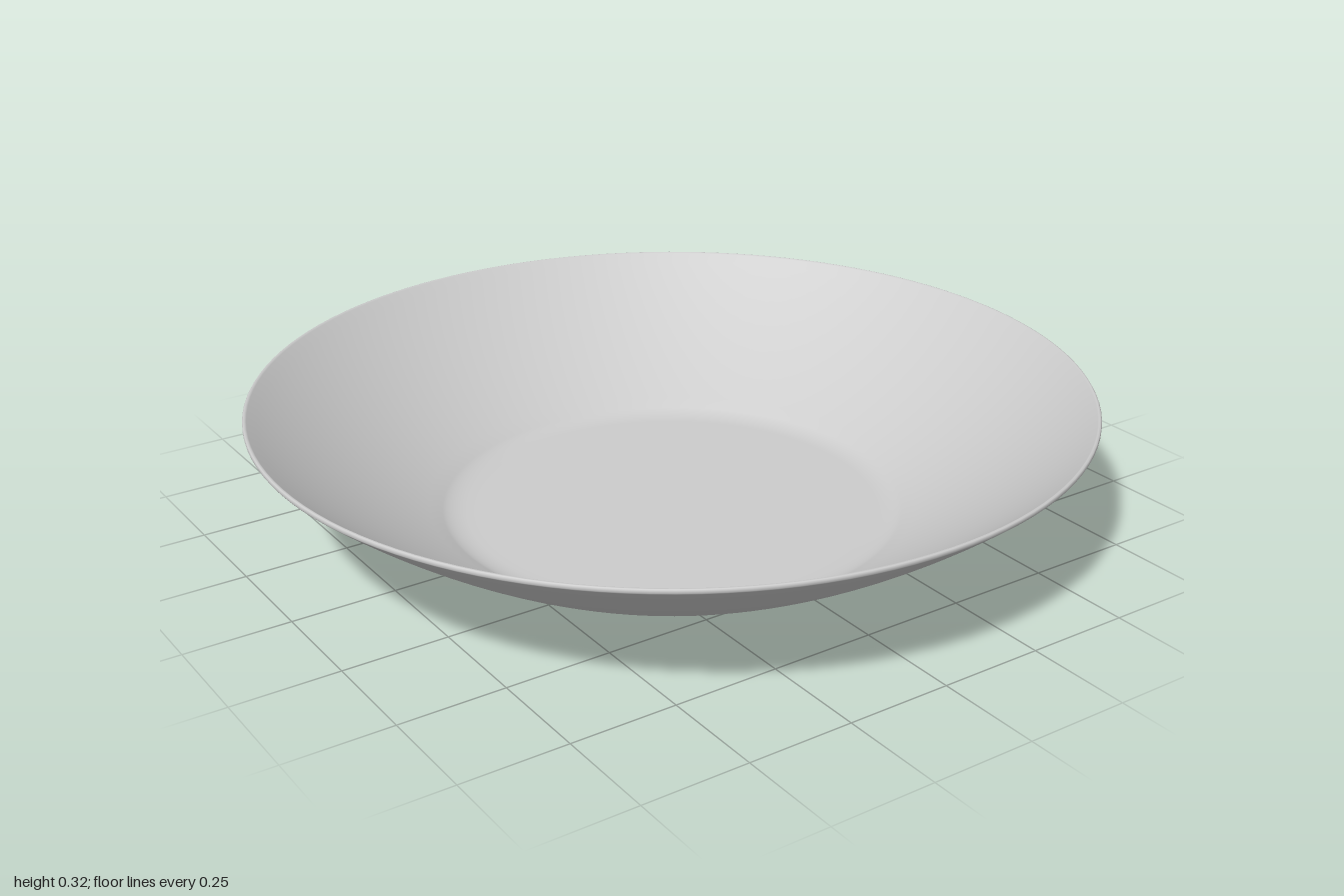
import * as THREE from 'three';

export function createModel() {
  const group = new THREE.Group();
  group.name = 'shallowDish';
  const thickness = 0.012;
  const v = (x, y) => new THREE.Vector2(x, y);

  // outer side: flat base, small rounded foot, gently flaring wall
  const foot = new THREE.QuadraticBezierCurve(v(0.5, 0), v(0.545, 0.002), v(0.57, 0.02));
  const wall = new THREE.QuadraticBezierCurve(v(0.57, 0.02), v(0.8, 0.137), v(0.998, 0.306));
  const outer = [...foot.getPoints(6), ...wall.getPoints(20).slice(1)];

  // inner side: the same curve, offset by the wall thickness
  const inner = outer.map((p, i) => {
    const a = outer[Math.max(i - 1, 0)];
    const b = outer[Math.min(i + 1, outer.length - 1)];
    const d = b.clone().sub(a).normalize();
    return v(p.x - d.y * thickness, p.y + d.x * thickness);
  }).reverse();

  // softly rounded lip joining both sides
  const lip = [v(1, 0.309), v(1, 0.314), v(0.998, 0.317), v(0.994, 0.318)];

  const profile = [v(0, 0), v(0.49, 0), ...outer, ...lip, ...inner, v(0.48, thickness), v(0, thickness)];
  const dish = new THREE.Mesh(
    new THREE.LatheGeometry(profile, 128),
    new THREE.MeshStandardMaterial({ color: 0xcccccc })
  );
  dish.name = 'dish';
  group.add(dish);
  return group;
}
